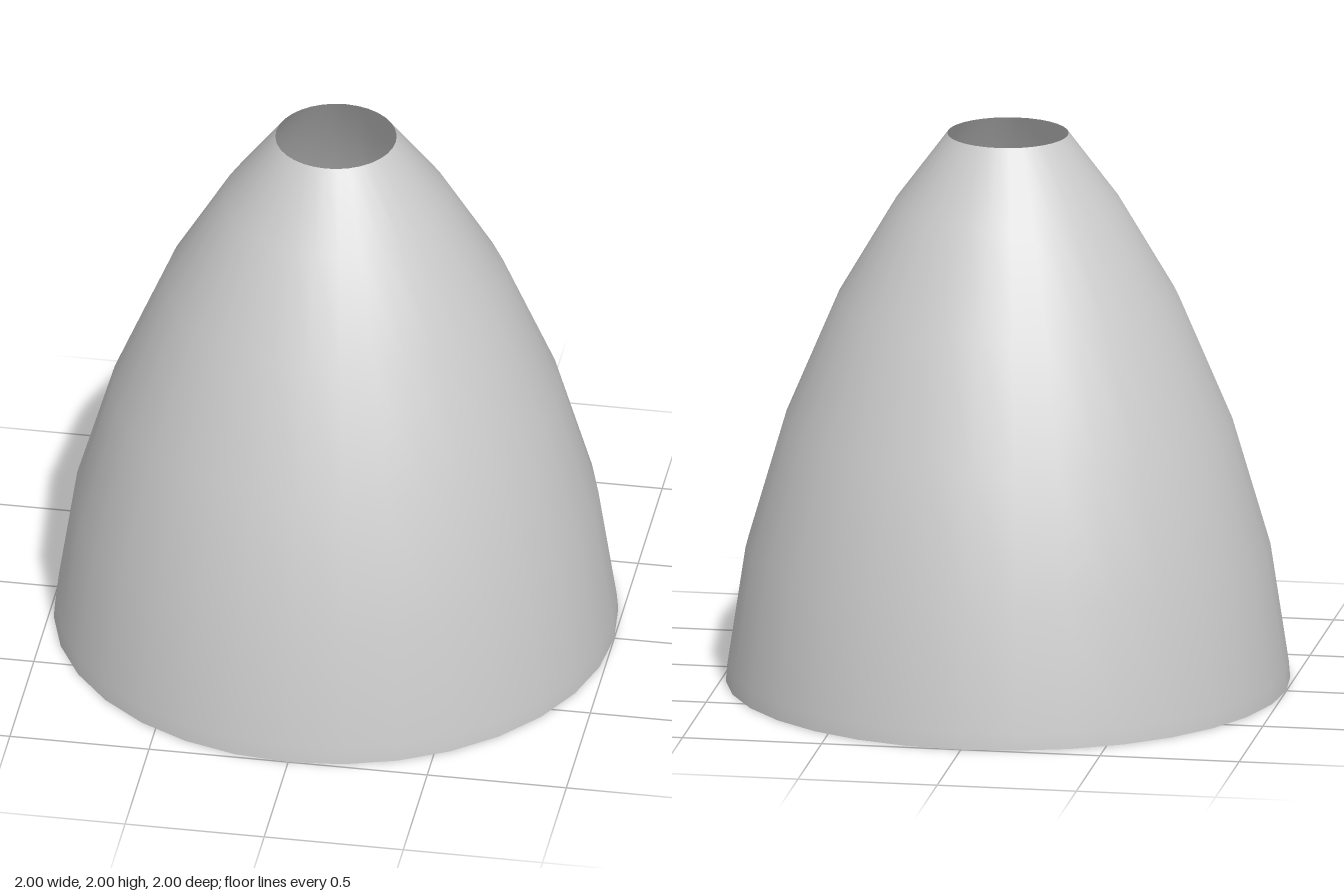
import * as THREE from 'three';

export function createModel() {
  const model = new THREE.Group();
  const material = new THREE.MeshStandardMaterial({ color: 0xcccccc, side: THREE.DoubleSide });

  // Thin curved shell, open at the base and at the top: [radius, height]
  const profile = [
    [1, 0], [0.995, 0.06], [0.93, 0.49], [0.795, 0.95],
    [0.605, 1.4], [0.4, 1.75], [0.215, 2],
  ].map(([r, y]) => new THREE.Vector2(r, y));

  const shell = new THREE.Mesh(new THREE.LatheGeometry(profile, 32), material);
  shell.name = 'shell';
  model.add(shell);
  return model;
}
